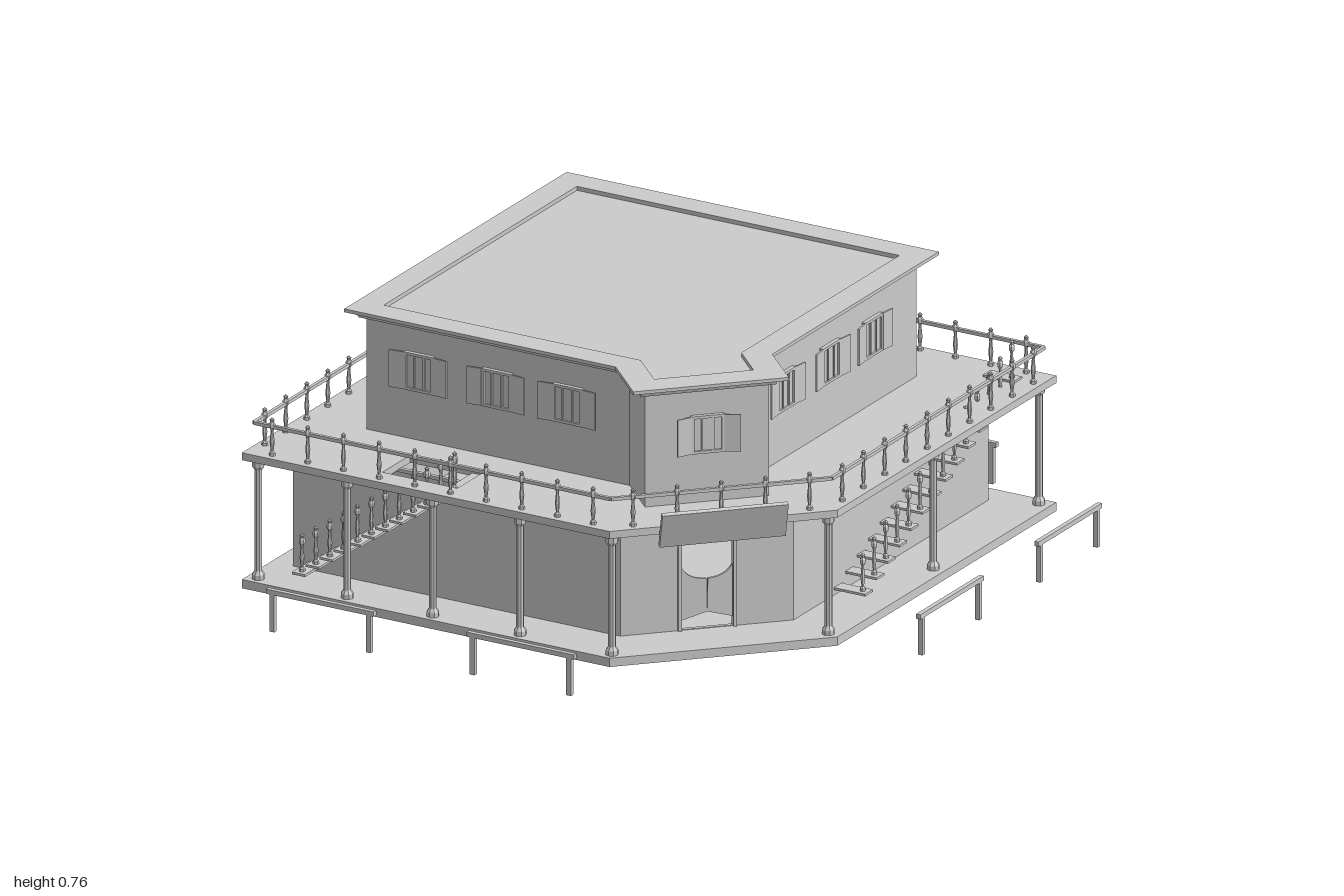
import * as THREE from 'three';

const mat = new THREE.MeshStandardMaterial({ color: 0xcccccc, flatShading: true, side: THREE.DoubleSide });

// Plans as [x, z], running front-left -> front-right -> back
const DECK = [[-0.94, 0.75], [0.24, 0.75], [0.70, 0.29], [0.70, -0.90], [-0.94, -0.90]];
const LOWER = [[-0.87, 0.59], [0.18, 0.59], [0.53, 0.24], [0.53, -0.82], [-0.87, -0.82]];
const UPPER = [[-0.735, 0.42], [0.11, 0.42], [0.23, 0.54], [0.48, 0.29], [0.37, 0.18], [0.37, -0.70], [-0.735, -0.70]];

function add(parent, name, geo, x = 0, y = 0, z = 0) {
  const m = new THREE.Mesh(geo, mat);
  m.name = name;
  m.position.set(x, y, z);
  parent.add(m);
  return m;
}
const box = (w, h, d) => new THREE.BoxGeometry(w, h, d);

function group(parent, name, x = 0, y = 0, z = 0, turn = 0) {
  const g = new THREE.Group();
  g.name = name;
  g.position.set(x, y, z);
  g.rotation.y = turn;
  parent.add(g);
  return g;
}

function edges(poly) {
  return poly.map((a, i) => {
    const b = poly[(i + 1) % poly.length], dx = b[0] - a[0], dz = b[1] - a[1], len = Math.hypot(dx, dz);
    return { a, b, dx, dz, len, n: [-dz / len, dx / len], turn: Math.atan2(-dz, dx), mid: [(a[0] + b[0]) / 2, (a[1] + b[1]) / 2] };
  });
}

// Mitred outward offset of a plan
function offset(poly, d) {
  const e = edges(poly);
  return poly.map((p, i) => {
    const m = e[(i + e.length - 1) % e.length].n, n = e[i].n, k = d / (1 + m[0] * n[0] + m[1] * n[1]);
    return [p[0] + (m[0] + n[0]) * k, p[1] + (m[1] + n[1]) * k];
  });
}

function slab(poly, h, hole) {
  const pts = (p) => p.map(([x, z]) => new THREE.Vector2(x, -z));
  const s = new THREE.Shape(pts(poly));
  if (hole) s.holes.push(new THREE.Path(pts(hole)));
  return new THREE.ExtrudeGeometry(s, { depth: h, bevelEnabled: false }).rotateX(-Math.PI / 2);
}

// Moulding: profile of [offset, y] carried round a plan
function moulding(poly, profile) {
  const pos = [], rings = profile.map(([d, y]) => offset(poly, d).map(([x, z]) => [x, y, z]));
  for (let i = 0; i < rings.length - 1; i++) {
    for (let j = 0; j < poly.length; j++) {
      const k = (j + 1) % poly.length, a = rings[i], b = rings[i + 1];
      pos.push(...a[j], ...a[k], ...b[k], ...a[j], ...b[k], ...b[j]);
    }
  }
  const g = new THREE.BufferGeometry();
  g.setAttribute('position', new THREE.Float32BufferAttribute(pos, 3));
  g.computeVertexNormals();
  return g;
}

// One wall panel per plan edge; an optional doorway in one of them
function walls(parent, name, poly, y, h, doorEdge = -1) {
  const T = 0.012;
  edges(poly).forEach((e, i) => {
    const w = e.len / 2, s = new THREE.Shape([[-w, 0], [w, 0], [w, h], [-w, h]].map((p) => new THREE.Vector2(...p)));
    if (i === doorEdge) s.holes.push(new THREE.Path([[-0.08, 0.002], [0.08, 0.002], [0.08, 0.265], [-0.08, 0.265]].map((p) => new THREE.Vector2(...p))));
    const g = group(parent, name, e.mid[0], y, e.mid[1], e.turn);
    add(g, name, new THREE.ExtrudeGeometry(s, { depth: T, bevelEnabled: false }), 0, 0, -T);
  });
}

const balusterGeo = new THREE.LatheGeometry(
  [[0, 0], [0.009, 0], [0.009, 0.008], [0.004, 0.014], [0.007, 0.04], [0.004, 0.07], [0.005, 0.078], [0.009, 0.084], [0.009, 0.094], [0.005, 0.1], [0.007, 0.107], [0, 0.113]]
    .map((p) => new THREE.Vector2(...p)), 6);
const columnGeo = new THREE.LatheGeometry(
  [[0.018, 0], [0.018, 0.015], [0.011, 0.025], [0.011, 0.325], [0.018, 0.335], [0.018, 0.357]].map((p) => new THREE.Vector2(...p)), 8);

function frame(parent, name, w, h, t, d, y) {
  for (const s of [-1, 1]) {
    add(parent, name, box(t, h, d), s * (w - t) / 2, y, 0);
    add(parent, name, box(w, t, d), 0, y + s * (h - t) / 2, 0);
  }
}

// Sash window with louvred shutters hinged at both sides
function shutteredWindow(parent, x, z, turn, open) {
  const g = group(parent, 'window', x, 0.605, z, turn);
  frame(g, 'windowFrame', 0.095, 0.112, 0.008, 0.016, 0);
  add(g, 'windowPane', box(0.09, 0.105, 0.004));
  for (const mx of [-0.016, 0.016]) add(g, 'mullion', box(0.005, 0.105, 0.012), mx, 0, 0);
  for (const s of [-1, 1]) {
    const leaf = group(g, 'shutter', s * 0.047, 0, 0.006, -s * open);
    add(leaf, 'shutterLeaf', box(0.045, 0.11, 0.005), s * 0.023, 0, 0);
  }
}

function hitchingRail(parent, x, z, turn) {
  const g = group(parent, 'hitchingRail', x, 0, z, turn);
  add(g, 'railBar', box(0.345, 0.014, 0.014), 0, 0.117, 0);
  for (const s of [-1, 1]) add(g, 'railLeg', box(0.015, 0.112, 0.014), s * 0.155, 0.056, 0);
}

// Open-tread stair climbing along local +x, balusters on the +z side
function stair(parent, x, z, turn, count, run, y0, y1, width) {
  const g = group(parent, 'stair', x, 0, z, turn);
  for (let i = 0; i < count; i++) {
    const t = i / (count - 1), y = y0 + (y1 - y0) * t;
    add(g, 'tread', box(0.042, 0.007, width), run * t, y, 0);
    add(g, 'stairBaluster', balusterGeo, run * t, y + 0.003, width / 2 - 0.02);
  }
}

export function createModel() {
  const model = new THREE.Group();
  model.name = 'cornerSaloon';

  // Floors and walls
  add(model, 'basePlatform', slab(DECK, 0.026));
  walls(model, 'lowerWall', LOWER, 0.026, 0.356, 1);
  const stairwell = [[-0.53, 0.53], [-0.53, 0.68], [-0.29, 0.68], [-0.29, 0.53]];
  add(model, 'balconyDeck', slab(DECK, 0.022, stairwell), 0, 0.38, 0);
  walls(model, 'upperWall', UPPER, 0.40, 0.35);
  add(model, 'lowerTrim', moulding(LOWER, [[0, 0.362], [0.015, 0.366], [0.015, 0.38]]));

  // Roof with stepped cornice and sunken top
  add(model, 'cornice', moulding(UPPER, [[0, 0.73], [0.016, 0.736], [0.02, 0.747], [0.045, 0.755], [0.045, 0.765], [-0.035, 0.765], [-0.035, 0.752]]));
  add(model, 'roof', slab(offset(UPPER, -0.03), 0.008), 0, 0.745, 0);

  // Balcony railing
  const railing = group(model, 'balconyRailing');
  for (const e of edges(offset(DECK, -0.025))) {
    const n = Math.round(e.len / 0.115);
    for (let i = 0; i < n; i++) {
      const t = (i + 0.5) / n;
      add(railing, 'baluster', balusterGeo, e.a[0] + e.dx * t, 0.402, e.a[1] + e.dz * t);
    }
    add(railing, 'handrail', box(e.len, 0.01, 0.01), e.mid[0], 0.488, e.mid[1]).rotation.y = e.turn;
  }

  // Porch columns
  const columns = [[-0.905, 0.72], [-0.62, 0.72], [-0.345, 0.72], [-0.065, 0.72], [0.23, 0.72], [0.665, 0.28], [0.665, -0.29], [0.665, -0.865]];
  for (const [x, z] of columns) add(model, 'porchColumn', columnGeo, x, 0.025, z);

  // Upper windows on the front, right side and corner bay
  for (const x of [-0.562, -0.312, -0.085]) shutteredWindow(model, x, 0.424, 0, 0.12);
  for (const z of [0.025, -0.22, -0.45]) shutteredWindow(model, 0.374, z, Math.PI / 2, 0.12);
  shutteredWindow(model, 0.358, 0.418, Math.PI / 4, 0.3);

  // Corner entrance with swinging half doors
  const door = group(model, 'entrance', 0.355, 0.026, 0.415, Math.PI / 4);
  for (const s of [-1, 1]) {
    add(door, 'doorJamb', box(0.01, 0.265, 0.022), s * 0.079, 0.133, -0.002);
    const leaf = new THREE.Shape();
    leaf.moveTo(0, 0.05);
    leaf.lineTo(s * 0.072, 0.03);
    leaf.lineTo(s * 0.072, 0.185);
    leaf.quadraticCurveTo(s * 0.055, 0.15, 0.002 * s, 0.148);
    leaf.closePath();
    add(door, 'swingDoor', new THREE.ExtrudeGeometry(leaf, { depth: 0.008, bevelEnabled: false, curveSegments: 6 }), 0, 0, -0.006);
  }
  add(door, 'doorLintel', box(0.168, 0.01, 0.022), 0, 0.268, -0.002);

  // Blank tilted board above the entrance
  const board = add(group(model, 'signBoard', 0.482, 0.40, 0.54, Math.PI / 4), 'signBoard', box(0.36, 0.11, 0.014));
  board.rotation.x = 0.3;

  // Stairs: front rises to the right, side rises to the back
  stair(model, -0.80, 0.605, 0, 12, 0.49, 0.045, 0.385, 0.15);
  stair(model, 0.58, 0.0, Math.PI / 2, 14, 0.81, 0.045, 0.405, 0.10);

  // Hitching rails around the building
  for (const x of [-0.545, 0.098]) hitchingRail(model, x, 0.988, 0);
  for (const x of [-0.36, 0.283]) hitchingRail(model, x, -0.993, 0);
  for (const z of [-0.57, 0.073]) hitchingRail(model, 0.933, z, Math.PI / 2);

  return model;
}
